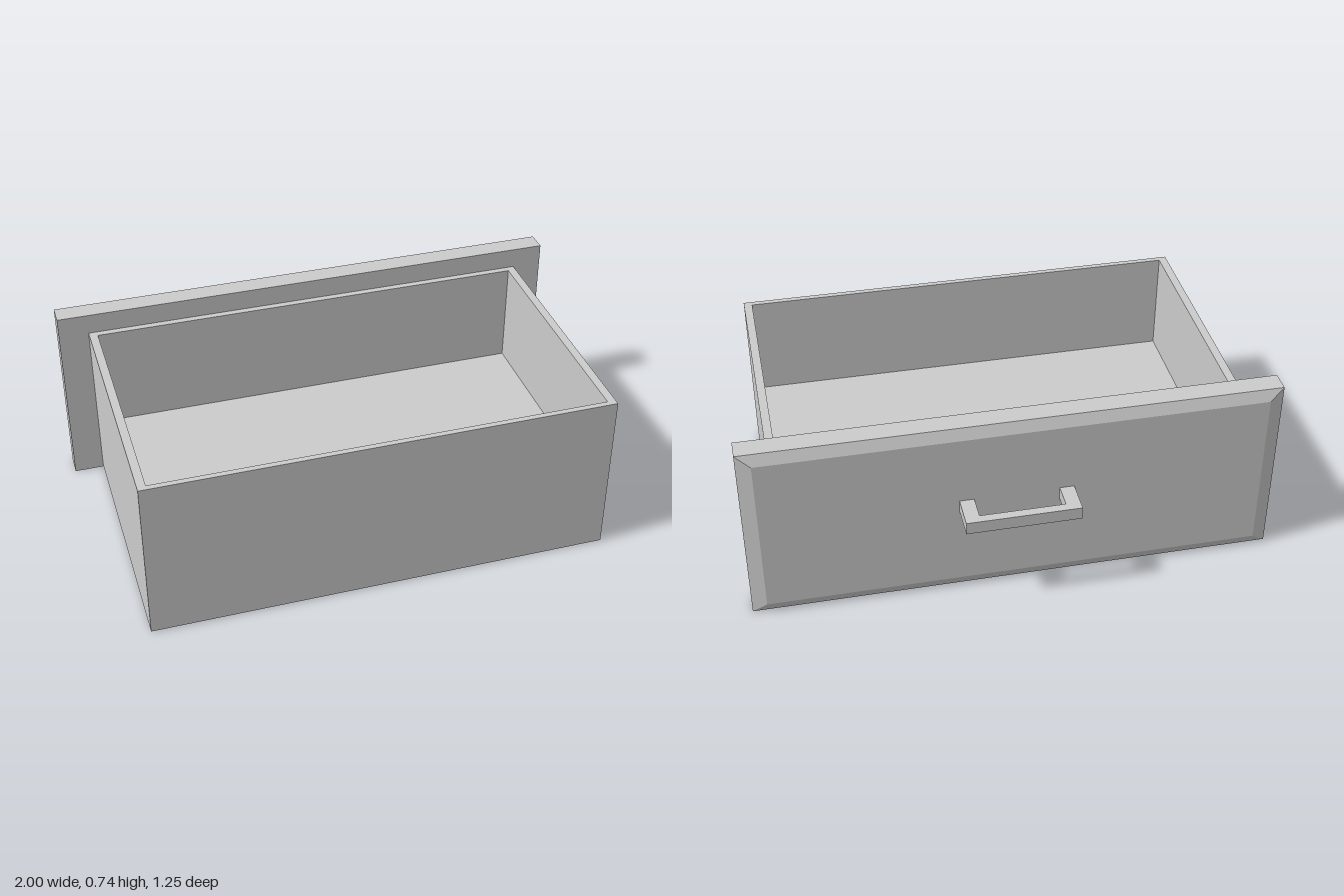
import * as THREE from 'three';

const material = new THREE.MeshStandardMaterial({ color: 0xcccccc, flatShading: true });

function part(name, geometry) {
  const mesh = new THREE.Mesh(geometry, material);
  mesh.name = name;
  return mesh;
}

const points = (list) => list.map(([x, z]) => new THREE.Vector2(x, -z));
const rectangle = (x, z0, z1) => points([[-x, z0], [-x, z1], [x, z1], [x, z0]]);

// Plan outline given as (x, z), raised from y0 to y1
function raise(outline, hole, y0, y1) {
  const shape = new THREE.Shape(outline);
  if (hole) shape.holes.push(new THREE.Path(hole));
  const geometry = new THREE.ExtrudeGeometry(shape, { depth: y1 - y0, bevelEnabled: false });
  return geometry.rotateX(-Math.PI / 2).translate(0, y0, 0);
}

// Face board with its outer face chamfered on all four edges
function chamferedBoard(width, height, zInner, zEdge, zOuter, insetX, insetY) {
  const geometry = new THREE.BoxGeometry(width, height, 2, 1, 1, 2);
  const p = geometry.attributes.position;
  for (let i = 0; i < p.count; i++) {
    const layer = Math.round(p.getZ(i));
    p.setZ(i, layer > 0 ? zInner : layer === 0 ? zEdge : zOuter);
    if (layer < 0) {
      p.setX(i, p.getX(i) - Math.sign(p.getX(i)) * insetX);
      p.setY(i, p.getY(i) - Math.sign(p.getY(i)) * insetY);
    }
  }
  const flat = geometry.toNonIndexed().translate(0, height / 2, 0);
  flat.computeVertexNormals();
  return flat;
}

export function createModel() {
  const drawer = new THREE.Group();
  drawer.name = 'drawer';

  // Open tray: four walls and a raised floor
  const inner = rectangle(0.853, -0.37, 0.6);
  drawer.add(part('trayWalls', raise(rectangle(0.885, -0.4, 0.622), inner, 0.003, 0.655)));
  drawer.add(part('trayFloor', raise(inner, null, 0.003, 0.245)));

  // Face board
  drawer.add(part('faceBoard', chamferedBoard(2, 0.735, -0.396, -0.476, -0.496, 0.055, 0.043)));

  // Square-cut pull handle
  const pull = points([
    [-0.215, -0.49], [-0.16, -0.49], [-0.16, -0.59], [0.16, -0.59],
    [0.16, -0.49], [0.215, -0.49], [0.215, -0.624], [-0.215, -0.624],
  ]);
  drawer.add(part('handle', raise(pull, null, 0.368, 0.418)));

  return drawer;
}
